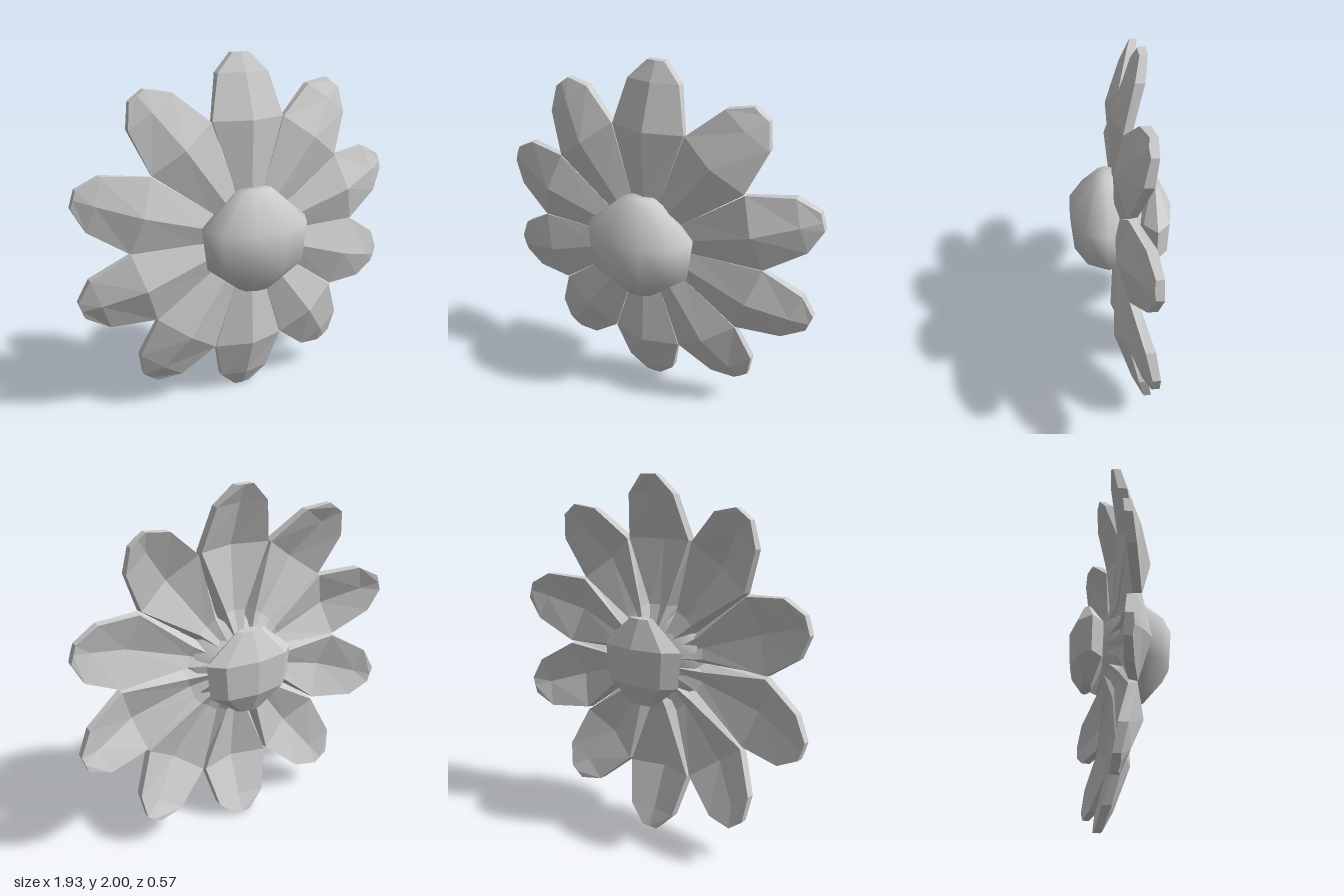
import * as THREE from 'three';

const PETALS = 10;
const CENTRE_Y = 1;

// Each section: distance from centre, front half width, front ridge z, front edge z,
// back half width, back ridge z, back edge z
const SECTIONS = [
  [0.06, 0.019, 0.03, 0.02, 0.012, -0.1, -0.1],
  [0.16, 0.052, 0.035, 0.02, 0.025, -0.075, -0.085],
  [0.3, 0.097, 0.045, 0.015, 0.06, -0.025, -0.045],
  [0.66, 0.212, 0.06, 0.0, 0.205, 0.01, -0.045],
  [0.9, 0.15, -0.03, -0.06, 0.15, -0.08, -0.11],
  [1.0, 0.05, -0.085, -0.09, 0.05, -0.13, -0.13],
];

// Ridged petal pointing up +y, lofted through six-point rings
function petalGeometry() {
  const rings = SECTIONS.map(([r, fw, fr, fe, bw, br, be]) => [
    [-fw, r, fe], [0, r, fr], [fw, r, fe],
    [bw, r, be], [0, r, br], [-bw, r, be],
  ]);
  const pos = [];
  const tri = (a, b, c) => pos.push(...a, ...b, ...c);
  for (let i = 0; i < rings.length - 1; i++) {
    for (let j = 0; j < 6; j++) {
      const k = (j + 1) % 6;
      const a = rings[i][j], b = rings[i][k], c = rings[i + 1][k], d = rings[i + 1][j];
      tri(a, b, c);
      tri(a, c, d);
    }
  }
  // Inner and outer end faces
  const inner = rings[0], outer = rings[rings.length - 1];
  for (let j = 1; j < 5; j++) {
    tri(inner[0], inner[j + 1], inner[j]);
    tri(outer[0], outer[j], outer[j + 1]);
  }
  const geo = new THREE.BufferGeometry();
  geo.setAttribute('position', new THREE.Float32BufferAttribute(pos, 3));
  geo.computeVertexNormals();
  return geo;
}

// Low-poly squashed ball turned about the vertical axis, with flat ends
function ball(profile, sides, depth, z, material, name, flat) {
  const pts = profile.map(([r, y]) => new THREE.Vector2(r, y));
  let geo = new THREE.LatheGeometry(pts, sides, Math.PI / 2);
  if (flat) {
    geo = geo.toNonIndexed();
    geo.computeVertexNormals();
  }
  const mesh = new THREE.Mesh(geo, material);
  mesh.scale.z = depth;
  mesh.position.z = z;
  mesh.name = name;
  return mesh;
}

export function createModel() {
  const model = new THREE.Group();
  model.name = 'flower';
  const grey = new THREE.MeshStandardMaterial({ color: 0xcccccc });
  grey.name = 'pale grey';

  // Petals
  const petals = new THREE.Group();
  petals.name = 'petals';
  const geo = petalGeometry();
  for (let i = 0; i < PETALS; i++) {
    const petal = new THREE.Mesh(geo, grey);
    petal.name = 'petal';
    petal.rotation.z = (i / PETALS) * Math.PI * 2;
    petals.add(petal);
  }
  petals.position.y = CENTRE_Y;
  model.add(petals);

  // Smooth flower centre
  model.add(ball(
    [[0, 0.715], [0.1, 0.715], [0.293, 0.87], [0.32, 1.1], [0.1, 1.29], [0, 1.29]],
    10, 0.66, 0.08, grey, 'flowerCentre', false));

  // Faceted cap at the back
  model.add(ball(
    [[0, 0.765], [0.08, 0.765], [0.245, 0.89], [0.268, 1.09], [0.08, 1.245], [0, 1.245]],
    8, 0.37, -0.185, grey, 'backCap', true));

  return model;
}
